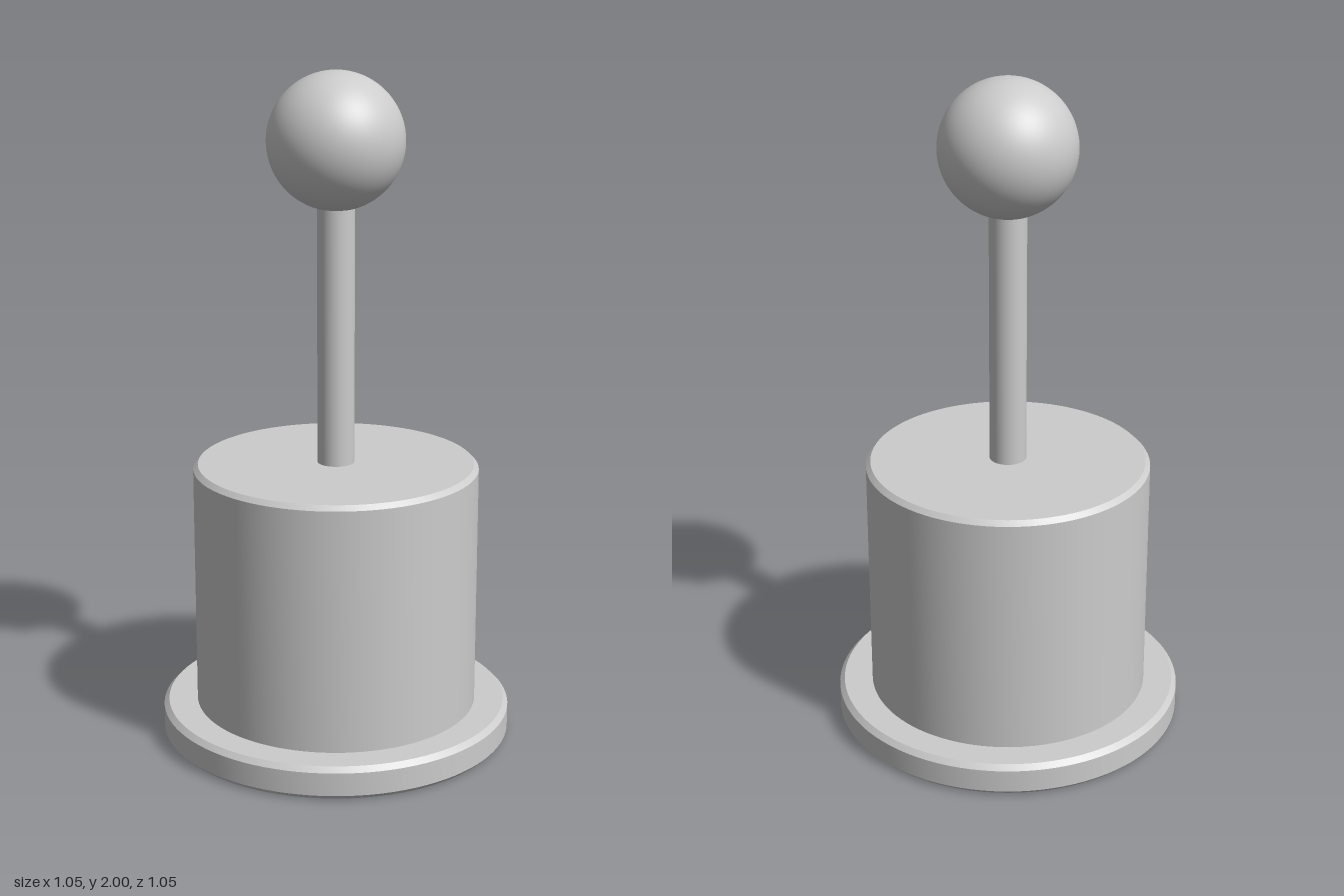
import * as THREE from 'three';
import { toCreasedNormals } from 'three/addons/utils/BufferGeometryUtils.js';

export function createModel() {
  const group = new THREE.Group();
  const grey = new THREE.MeshStandardMaterial({ color: 0xcccccc });
  grey.name = 'light grey';

  const add = (name, geometry, y = 0) => {
    const mesh = new THREE.Mesh(geometry, grey);
    mesh.name = name;
    mesh.position.y = y;
    group.add(mesh);
  };

  // Solid disc with chamfered rims and crisp edges
  const disc = (radius, bottom, top, bevelBottom, bevelTop) => {
    const profile = [[0, bottom], [radius - bevelBottom, bottom]];
    if (bevelBottom > 0) profile.push([radius, bottom + bevelBottom]);
    profile.push([radius, top - bevelTop], [radius - bevelTop, top], [0, top]);
    const points = profile.map(([x, y]) => new THREE.Vector2(x, y));
    return toCreasedNormals(new THREE.LatheGeometry(points, 96), 0.5);
  };

  // Flange and drum-shaped body
  add('baseFlange', disc(0.527, 0, 0.1, 0.015, 0.015));
  add('body', disc(0.425, 0.1, 0.845, 0, 0.014));

  // Stem rising into the ball knob
  add('stem', new THREE.CylinderGeometry(0.055, 0.055, 0.8, 48, 1, true), 1.24);
  add('ballKnob', new THREE.SphereGeometry(0.2, 64, 40), 1.8);

  return group;
}
